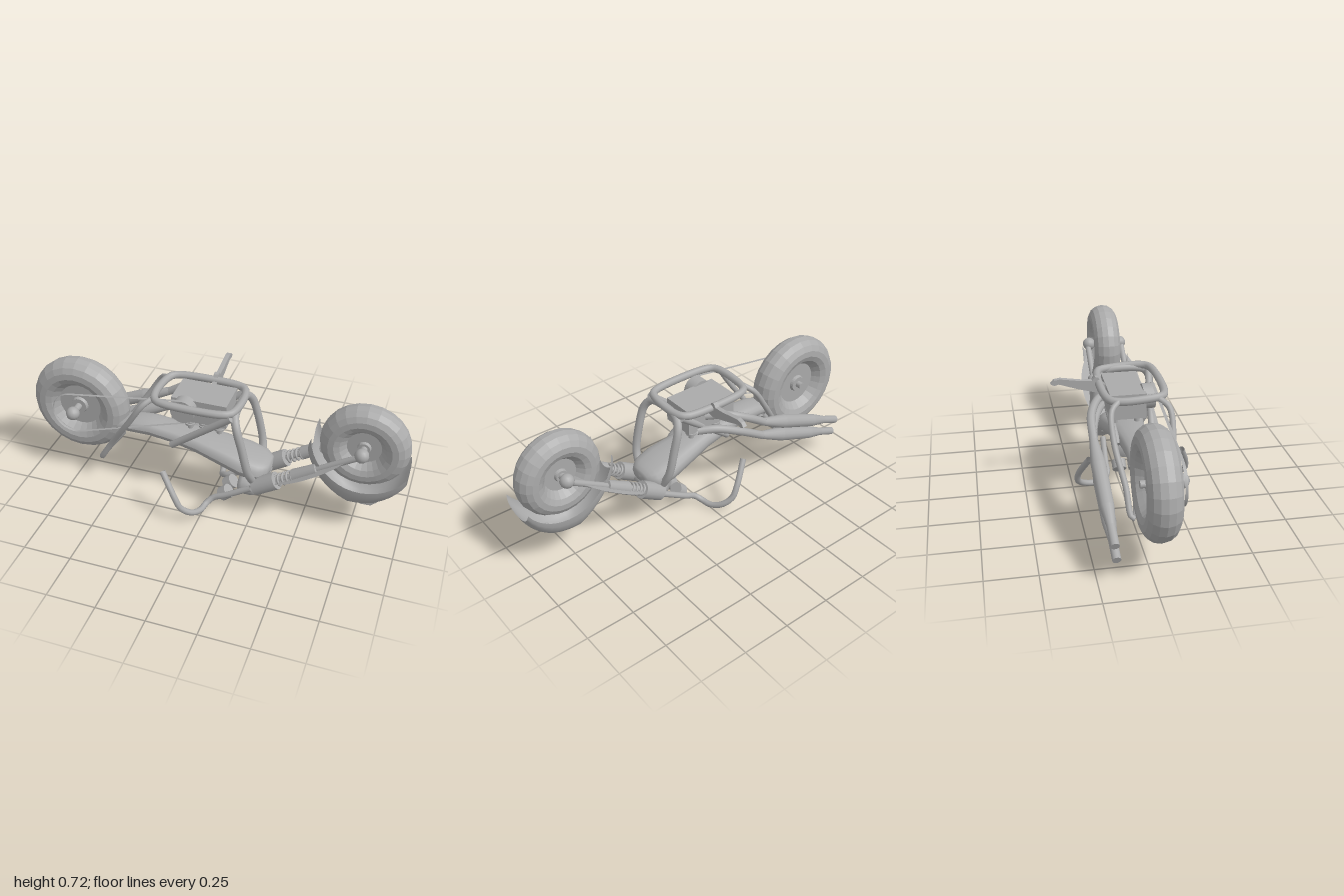
import * as THREE from 'three';

const grey = new THREE.MeshStandardMaterial({ color: 0xaaaaaa, side: THREE.DoubleSide });
grey.name = 'grey';
const C = 0.046; // z of the centre plane
const V = (x, y, z) => new THREE.Vector3(x, y, z);

export function createModel() {
  const model = new THREE.Group();
  const add = (name, geo, x = 0, y = 0, z = 0) => {
    const m = new THREE.Mesh(geo, grey);
    m.name = name;
    m.position.set(x, y, z);
    model.add(m);
    return m;
  };
  const tube = (name, pts, r, closed = false, seg = 28) => add(name, new THREE.TubeGeometry(
    new THREE.CatmullRomCurve3(pts.map(p => V(...p)), closed, 'centripetal'), seg, r, 10, closed));
  // Tapered cylinder between two points
  const rod = (name, a, b, r0, r1 = r0, n = 14) => {
    const p = V(...a), q = V(...b), d = q.clone().sub(p);
    const m = add(name, new THREE.CylinderGeometry(r1, r0, d.length(), n));
    m.position.copy(p).add(q).multiplyScalar(0.5);
    m.quaternion.setFromUnitVectors(V(0, 1, 0), d.normalize());
    return m;
  };
  const ball = (name, x, y, z, r) => add(name, new THREE.SphereGeometry(r, 14, 10), x, y, z);
  // Surface from a function of u and v in 0..1
  const surface = (name, nu, nv, fn) => {
    const g = new THREE.PlaneGeometry(1, 1, nu, nv), p = g.attributes.position, uv = g.attributes.uv;
    for (let i = 0; i < p.count; i++) p.setXYZ(i, ...fn(uv.getX(i), uv.getY(i)));
    g.computeVertexNormals();
    return add(name, g);
  };
  const sample = (list, t) => {
    const f = Math.min(t, 0.99999) * (list.length - 1), i = Math.floor(f);
    return list[i] + (list[i + 1] - list[i]) * (f - i);
  };

  // Wheels: round faceted tyre, rim disc and hub turned in one profile
  const wheel = (name, x, y, z, R, w, lip) => {
    const mid = (R + lip) / 2, h = (R - lip) / 2, side = [];
    for (let i = 0; i <= 12; i++) {
      const a = -2.6 + (i / 12) * 5.2;
      side.push(new THREE.Vector2(mid + h * Math.cos(a), w * Math.sin(a)));
    }
    const rim = [[0, 0.55], [lip * 0.35, 0.55], [lip * 0.4, 0.35], [lip, 0.35]];
    const pts = [...rim.map(p => new THREE.Vector2(p[0], -p[1] * w)), ...side,
      ...rim.reverse().map(p => new THREE.Vector2(p[0], p[1] * w))];
    const g = new THREE.LatheGeometry(pts, 24).toNonIndexed();
    g.computeVertexNormals();
    add(name, g, x, y, z).rotation.x = Math.PI / 2;
  };
  wheel('rearWheel', -0.733, 0.417, 0.033, 0.267, 0.08, 0.117);
  wheel('frontWheel', 0.775, 0.503, 0.041, 0.222, 0.075, 0.085);
  rod('rearAxle', [-0.733, 0.417, -0.04], [-0.733, 0.417, 0.15], 0.018);
  ball('rearHubCap', -0.733, 0.417, 0.15, 0.036);
  rod('frontAxle', [0.775, 0.503, C - 0.1], [0.775, 0.503, C + 0.1], 0.018);

  // Drive belt around two pulleys
  const belt = [];
  for (const [x, y, r, start] of [[-0.733, 0.417, 0.115, 0.57], [-0.125, 0.56, 0.065, 1.57]])
    for (let i = 0; i <= 12; i++) {
      const a = Math.PI * (start + i / 12);
      belt.push([x + r * Math.cos(a), y + r * Math.sin(a)]);
    }
  belt.push(belt[0]);
  surface('driveBelt', belt.length - 1, 1, (u, v) => [...belt[Math.round(u * (belt.length - 1))], 0.137 + v * 0.015]);
  rod('enginePulley', [-0.125, 0.56, 0.09], [-0.125, 0.56, 0.15], 0.063, 0.063, 20);

  // Seat and tank as one lofted body
  const bx = [-0.55, -0.54, -0.44, -0.33, -0.2, -0.07, 0.06, 0.18, 0.27, 0.31, 0.32];
  const by = [0.34, 0.34, 0.36, 0.365, 0.35, 0.33, 0.3, 0.27, 0.25, 0.25, 0.25];
  const bh = [0.001, 0.025, 0.038, 0.042, 0.042, 0.05, 0.058, 0.062, 0.055, 0.035, 0.001];
  const bw = [0.001, 0.055, 0.07, 0.072, 0.075, 0.085, 0.105, 0.122, 0.11, 0.07, 0.001];
  surface('seatAndTank', 20, 16, (u, v) => {
    const a = v * Math.PI * 2, s = Math.sin(a), k = Math.cos(a);
    return [sample(bx, u), sample(by, u) + sample(bh, u) * Math.sign(s) * Math.abs(s) ** 0.8,
      C - 0.005 + sample(bw, u) * Math.sign(k) * Math.abs(k) ** 0.8];
  });

  // Front fender: curved shell with horned corners
  const spine = [0.275, 0.285, 0.31, 0.345, 0.33, 0.3, 0.275];
  const edge = [0.25, 0.225, 0.21, 0.21, 0.215, 0.225, 0.238];
  const half = [0.092, 0.1, 0.106, 0.108, 0.106, 0.103, 0.1];
  surface('frontFender', 16, 12, (u, v) => {
    const s = (v - 0.5) * Math.PI, k = Math.cos(s);
    const a = ((170 + 168 * u) * (1 - k) + (200 + 125 * u) * k) * Math.PI / 180;
    const r = sample(edge, u) * (1 - k) + sample(spine, u) * k;
    return [0.775 + r * Math.cos(a), 0.503 + r * Math.sin(a), C + sample(half, u) * Math.sin(s)];
  });
  const flat = (name, pts, depth) => {
    const g = new THREE.ExtrudeGeometry(new THREE.Shape(pts.map(p => new THREE.Vector2(...p))),
      { depth, bevelEnabled: false });
    return add(name, g);
  };
  flat('fenderFin', [[0.76, 0.165], [0.82, 0.175], [0.85, 0.215], [0.89, 0.225], [0.87, 0.18],
    [0.84, 0.152], [0.79, 0.15]], 0.016).position.z = 0.05;

  // Fork legs, springs, side shields and handlebars, mirrored
  const fork = (d, z) => [0.775 - 0.849 * d, 0.503 - 0.528 * d, z];
  const bar = [[0.24, 0.17, 0.1], [0.1, 0.09, 0.108], [0.04, 0.06, 0.11], [0.01, 0.035, 0.14], [0, 0.032, 0.19],
    [-0.03, 0.055, 0.25], [-0.075, 0.1, 0.283], [-0.105, 0.155, 0.281], [-0.185, 0.275, 0.236]];
  for (const s of [1, -1]) {
    const z = C + s * 0.098;
    ball('forkEnd', 0.775, 0.503, C + s * 0.09, 0.036);
    rod('forkRod', fork(0, z), fork(0.6, z), 0.016);
    rod('forkSlider', fork(0.24, z), fork(0.375, z), 0.03, 0.035);
    rod('forkCylinder', fork(0.475, z), fork(0.605, z), 0.046, 0.046, 16);
    const coil = [];
    for (let i = 0; i <= 32; i++) {
      const a = i * Math.PI / 4, p = fork(0.375 + 0.1 * i / 32, z), k = 0.029 * Math.cos(a);
      coil.push([p[0] - 0.528 * k, p[1] + 0.849 * k, z + 0.029 * Math.sin(a)]);
    }
    tube('forkSpring', coil, 0.006, false, 64);
    // Crescent shield lying along the fork leg
    surface('forkShield', 20, 1, (u, v) => {
      const a = 0.5 + u * (Math.PI - 1);
      return fork(0.3 - 0.29 * Math.cos(a), C + s * (0.08 * (1 - v) + 0.168 * Math.sin(a) * v));
    });
    tube('handlebar', bar.map(p => [p[0], p[1] - (s < 0 ? 0.015 : 0), 0.05 + s * p[2]]), 0.016, false, 32);
    rod('gauge', [0.07, 0.045, 0.056 + s * 0.043], [0.108, 0.078, 0.056 + s * 0.043], 0.038, 0.038, 16);
  }
  rod('upperClamp', fork(0.58, C - 0.1), fork(0.58, C + 0.1), 0.028);

  // Headlight
  const lamp = [[0, -0.055], [0.045, -0.055], [0.057, -0.03], [0.057, 0.02], [0.048, 0.04], [0.028, 0.052], [0, 0.056]];
  add('headlight', new THREE.LatheGeometry(lamp.map(p => new THREE.Vector2(...p)), 18), 0.207, 0.115, 0.056)
    .rotation.z = -Math.PI / 2;

  // Frame: upper hoop, front hoop, braces and rear stays
  const hoop = [];
  for (const [sx, sz] of [[1, 1], [-1, 1], [-1, -1], [1, -1]])
    for (const k of (sx * sz > 0 ? [0, 1, 2] : [2, 1, 0])) {
      const o = [[0, 0.07], [0.02, 0.02], [0.07, 0]][k];
      hoop.push([-0.066 + sx * (0.213 - o[0]), 0.612 + sz * 0.004, 0.04 + sz * (0.144 - o[1])]);
    }
  tube('upperFrame', hoop, 0.02, true, 56);
  const down = [[0.145, 0.602, 0.06], [0.15, 0.59, 0.105], [0.17, 0.545, 0.14], [0.2, 0.44, 0.148],
    [0.23, 0.3, 0.14], [0.245, 0.22, 0.1]];
  const both = [...down.map(p => [p[0], p[1], C - p[2]]).reverse(), ...down.map(p => [p[0], p[1], C + p[2]])];
  tube('frontFrame', both, 0.021, false, 48);
  for (const s of [1, -1]) {
    rod('diagonalBrace', [0.14, 0.6, C + s * 0.13], [-0.19, 0.335, C + s * 0.09], 0.018);
    tube('rearStay', [[-0.28, 0.61, C + s * 0.1], [-0.32, 0.58, C + s * 0.14], [-0.4, 0.46, C + s * 0.143],
      [-0.52, 0.28, C + s * 0.108], [-0.59, 0.165, C + s * 0.095], [-0.597, 0.155, C + s * 0.08],
      [-0.575, 0.19, C + s * 0.07], [-0.47, 0.33, C + s * 0.06]], 0.015, false, 40);
  }

  // Engine block with finned cylinders
  add('engineBlock', new THREE.BoxGeometry(0.29, 0.13, 0.18), -0.055, 0.54, 0.01);
  for (const x of [-0.11, -0.035, 0.045])
    for (const z of [-0.04, 0.07]) {
      rod('engineCylinder', [x, 0.42, z], [x, 0.5, z], 0.014);
      for (let i = 0; i < 3; i++)
        add('coolingFin', new THREE.CylinderGeometry(0.028, 0.028, 0.01, 12), x, 0.448 + i * 0.016, z);
    }

  // Kickstand, outlined in the z-y plane
  const stand = flat('kickstand', [[0.08, 0.6], [0.1, 0.615], [0.115, 0.64], [0.13, 0.645], [0.146, 0.625],
    [0.2, 0.628], [0.305, 0.645], [0.335, 0.64], [0.353, 0.622], [0.335, 0.612], [0.312, 0.618], [0.217, 0.586],
    [0.13, 0.562], [0.08, 0.57]], 0.024);
  stand.rotation.y = Math.PI / 2;
  stand.position.x = -0.047;

  // Twin exhausts on the -z side
  const exhaust = (head, start, end) => {
    const at = t => start.map((v, i) => v + (end[i] - v) * t);
    tube('exhaustPipe', [...head, start], 0.021);
    rod('mufflerCone', at(0), at(0.25), 0.021, 0.037);
    rod('muffler', at(0.25), at(0.65), 0.037, 0.034);
    rod('mufflerTaper', at(0.65), at(0.82), 0.034, 0.021);
    rod('exhaustTip', at(0.82), at(1), 0.021);
  };
  exhaust([[-0.02, 0.54, -0.07], [-0.1, 0.545, -0.13], [-0.2, 0.51, -0.175]], [-0.32, 0.435, -0.182], [-0.88, 0.205, -0.175]);
  exhaust([[0.03, 0.47, -0.07], [-0.06, 0.47, -0.12], [-0.17, 0.43, -0.16]], [-0.32, 0.345, -0.172], [-0.87, 0.125, -0.166]);

  return model;
}
